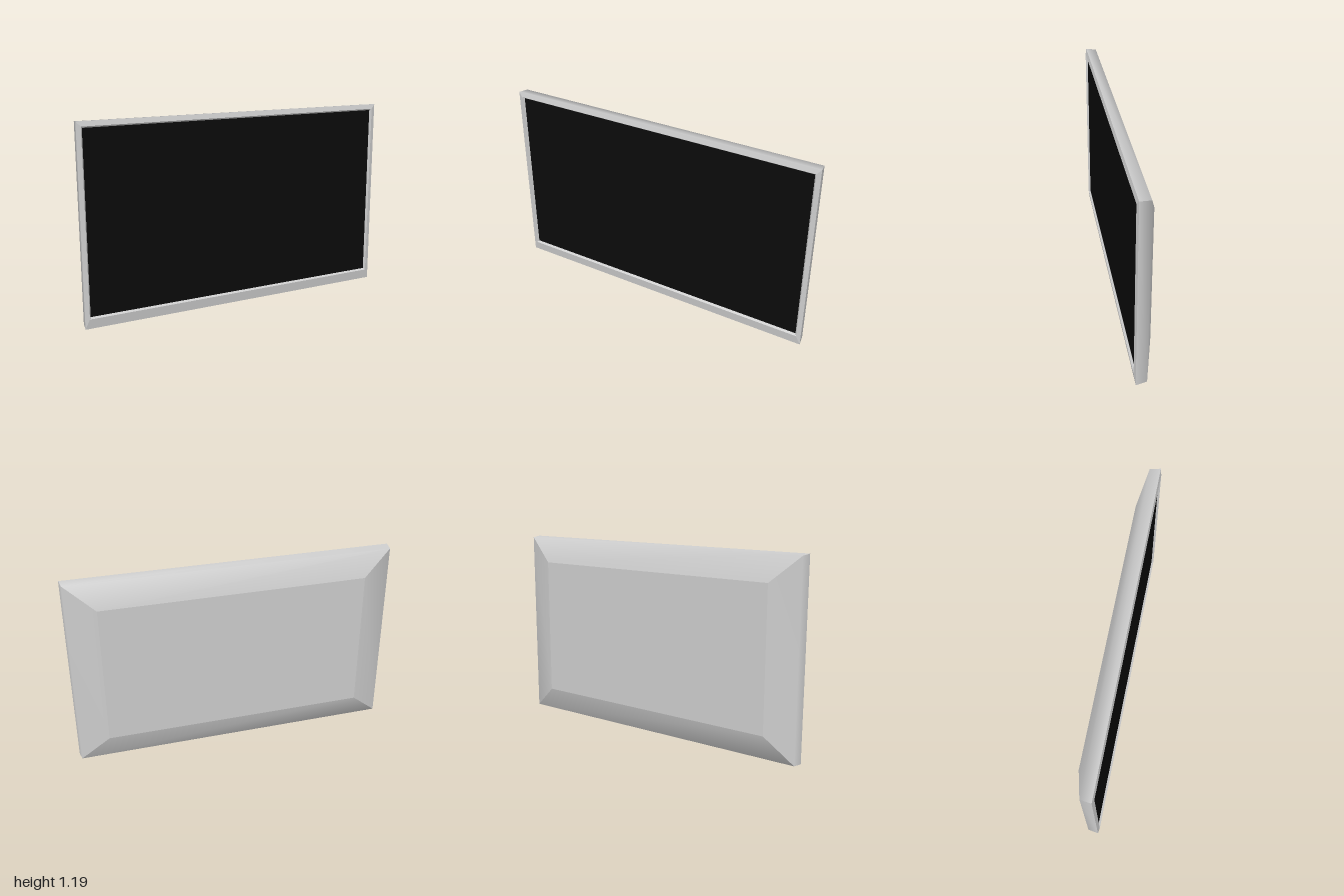
import * as THREE from 'three';

// Rectangular ring: half width, bottom, top, depth position; corners anticlockwise from the front
const ring = (w, y0, y1, z) => [[-w, y0, z], [w, y0, z], [w, y1, z], [-w, y1, z]];

// Four mitred sides lofted through rings; each side is smooth along its profile and sharp at the corners
function loft(name, rings, material) {
  const pos = [], index = [];
  for (let side = 0; side < 4; side++) {
    const base = pos.length / 3;
    for (const r of rings) pos.push(...r[side], ...r[(side + 1) % 4]);
    for (let k = 0; k < rings.length - 1; k++) {
      const a = base + k * 2;
      index.push(a, a + 1, a + 3, a, a + 3, a + 2);
    }
  }
  const geo = new THREE.BufferGeometry();
  geo.setAttribute('position', new THREE.Float32BufferAttribute(pos, 3));
  geo.setIndex(index);
  geo.computeVertexNormals();
  const mesh = new THREE.Mesh(geo, material);
  mesh.name = name;
  return mesh;
}

// Flat rectangle filling a ring, facing forwards or backwards
function panel(name, [p, , q], facing, material) {
  const mesh = new THREE.Mesh(new THREE.PlaneGeometry(q[0] - p[0], q[1] - p[1]), material);
  mesh.position.set(0, (p[1] + q[1]) / 2, p[2]);
  if (facing < 0) mesh.rotation.y = Math.PI;
  mesh.name = name;
  return mesh;
}

export function createModel() {
  const group = new THREE.Group();
  group.name = 'flatScreen';
  const grey = new THREE.MeshStandardMaterial({ color: 0xcccccc });
  const black = new THREE.MeshStandardMaterial({ color: 0x0a0a0a });

  const back = ring(0.815, 0.16, 1.03, -0.061);
  const shoulder = ring(0.99, 0.007, 1.184, -0.012);
  const rim = ring(1, 0, 1.19, 0.053);
  const bezelInner = ring(0.974, 0.06, 1.162, 0.061);
  const screenEdge = ring(0.965, 0.069, 1.153, 0.048);

  // Housing: flat back, sloping rear sides and outer walls
  group.add(panel('backPanel', back, -1, grey));
  group.add(loft('housing', [back, shoulder, rim], grey));

  // Front frame, its inner lip and the recessed screen
  group.add(loft('bezel', [rim, bezelInner], grey));
  group.add(loft('innerLip', [bezelInner, screenEdge], grey));
  group.add(panel('screen', screenEdge, 1, black));
  return group;
}
